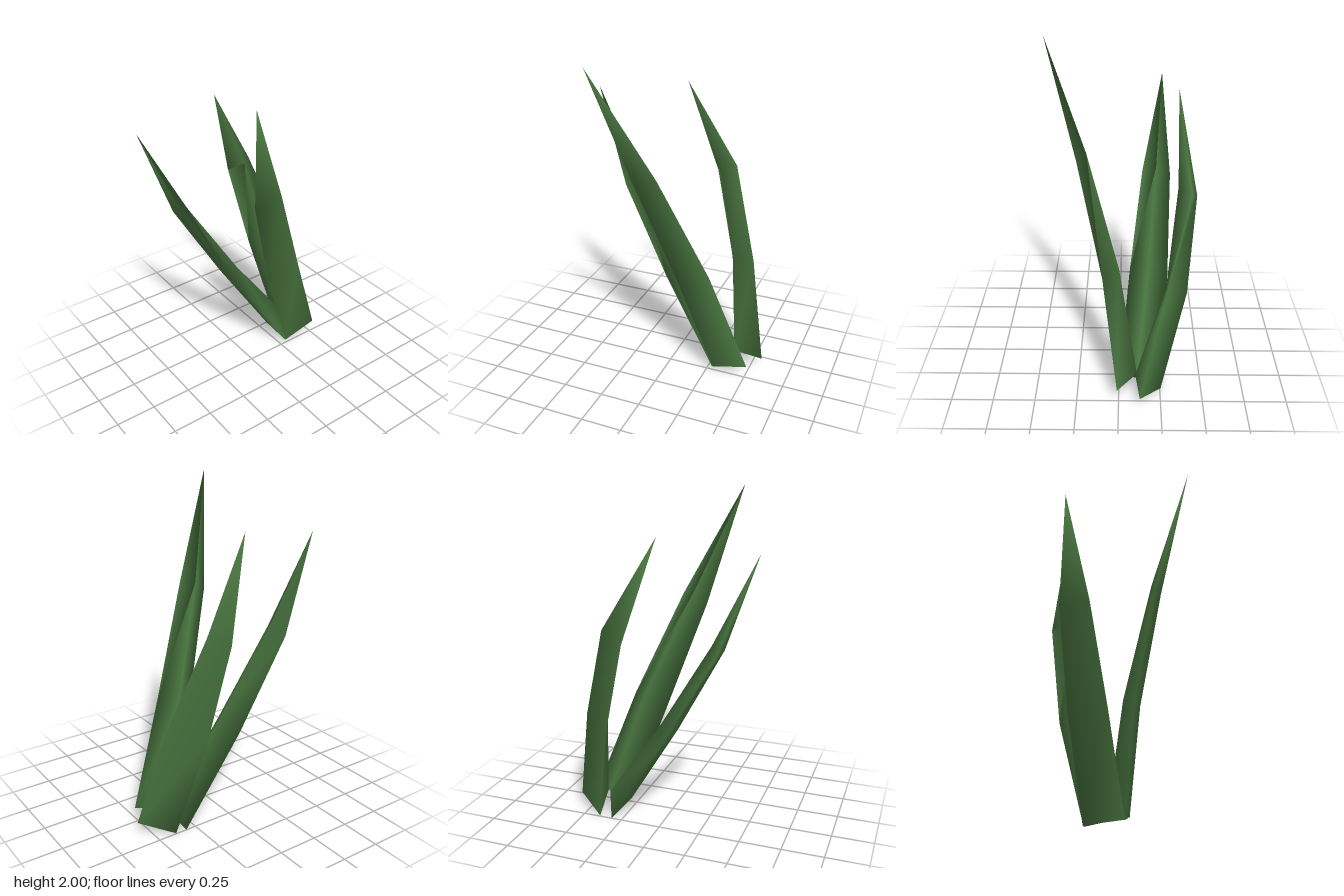
import * as THREE from 'three';

const leafGreen = new THREE.MeshStandardMaterial({ color: 0x48743f });
leafGreen.name = 'leafGreen';

// Each ring is [outer edge, outer edge, inner ridge], from the base upward.
const leaves = {
  frontLeaf: {
    rings: [
      [[0.29, 0.025, 0], [0.515, 0.09, 0.01], [0.385, 0.115, -0.11]],
      [[0.07, 0.65, 0.075], [0.285, 0.72, 0.097], [0.19, 0.73, 0]],
      [[-0.14, 1.3, 0.22], [0.02, 1.35, 0.25], [-0.06, 1.365, 0.195]],
    ],
    tip: [-0.3, 2, 0.445],
  },
  sideLeaf: {
    rings: [
      [[0.315, 0.003, -0.25], [0.285, 0.025, 0], [0.385, 0.11, -0.11]],
      [[-0.035, 0.565, -0.3], [-0.06, 0.585, -0.065], [0.01, 0.645, -0.18]],
      [[-0.35, 1.11, -0.315], [-0.36, 1.125, -0.14], [-0.31, 1.17, -0.225]],
    ],
    tip: [-0.58, 1.7, -0.26],
  },
  backLeaf: {
    rings: [
      [[0.575, 0.08, -0.125], [0.39, 0.01, -0.255], [0.4, 0.115, -0.1]],
      [[0.45, 0.69, -0.265], [0.27, 0.62, -0.4], [0.31, 0.69, -0.275]],
      [[0.275, 1.25, -0.405], [0.14, 1.19, -0.445], [0.19, 1.265, -0.333]],
    ],
    tip: [-0.025, 1.77, -0.333],
  },
};

// Three-sided tapering blade with smooth sides and a flat cut base.
function leafGeometry({ rings, tip }) {
  const points = [...rings.flat(), tip];
  const tipIndex = points.length - 1;
  const index = [];
  for (let r = 0; r < rings.length; r++) {
    for (let s = 0; s < 3; s++) {
      const a = r * 3 + s, b = r * 3 + (s + 1) % 3;
      if (r === rings.length - 1) index.push(a, b, tipIndex);
      else index.push(a, b, b + 3, a, b + 3, a + 3);
    }
  }
  // base cap on its own vertices, so its edge stays sharp
  const cap = points.length;
  points.push(...rings[0]);
  index.push(cap, cap + 2, cap + 1);

  const geometry = new THREE.BufferGeometry();
  geometry.setAttribute('position', new THREE.Float32BufferAttribute(points.flat(), 3));
  geometry.setIndex(index);
  geometry.computeVertexNormals();
  return geometry;
}

export function createModel() {
  const group = new THREE.Group();
  group.name = 'leafCluster';
  for (const [name, leaf] of Object.entries(leaves)) {
    const mesh = new THREE.Mesh(leafGeometry(leaf), leafGreen);
    mesh.name = name;
    group.add(mesh);
  }
  return group;
}
